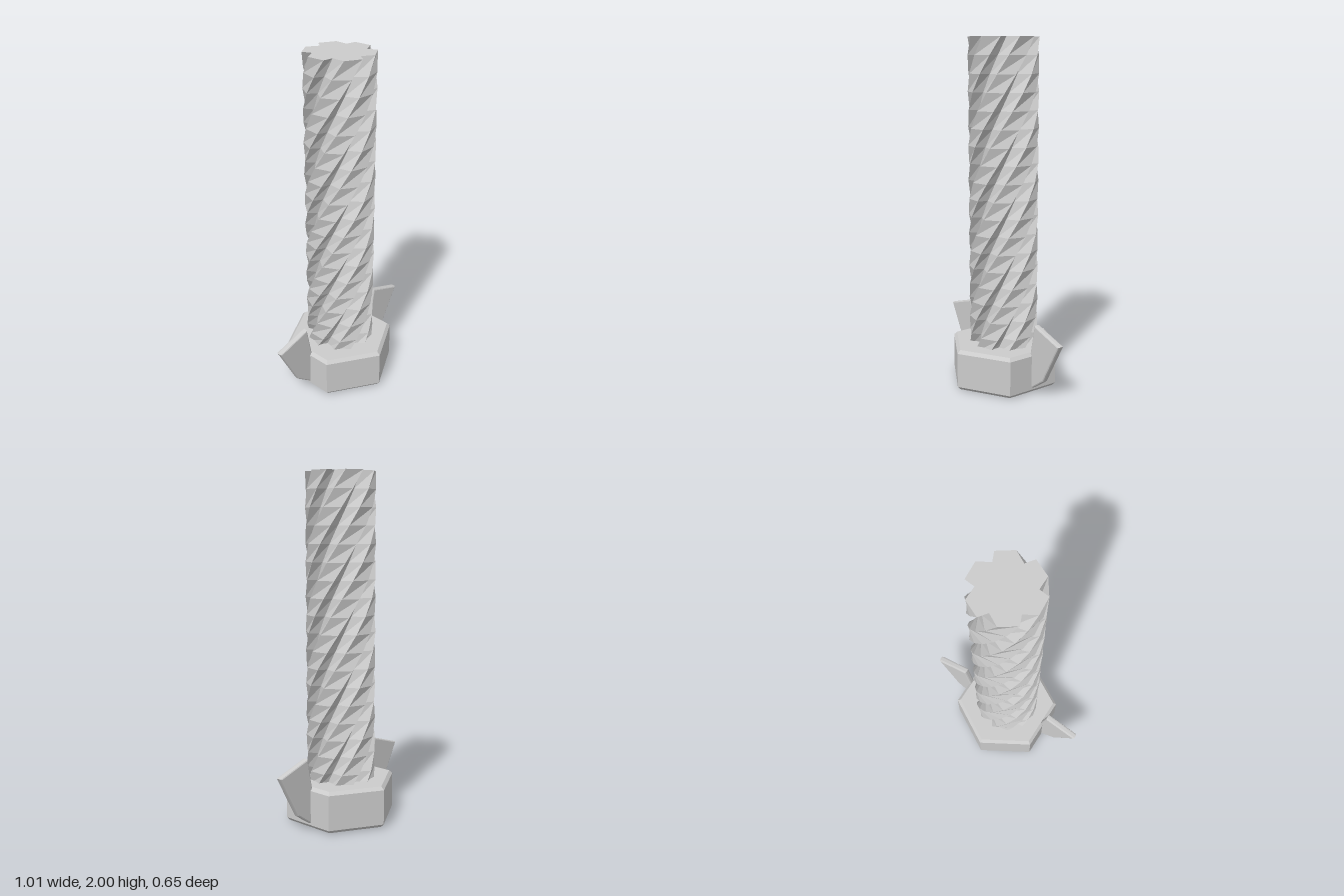
import * as THREE from 'three';

const material = new THREE.MeshStandardMaterial({ color: 0xcccccc, flatShading: true });
const HEIGHT = 2;
const STEPS = 20;
const TWIST = 2 * Math.PI;

// Six-toothed saw profile, stacked in rings that make one full turn
function createShaft() {
  const profile = [];
  for (let k = 0; k < 6; k++) {
    profile.push([60 * k, 0.2], [60 * k + 10, 0.149], [60 * k + 30, 0.2]);
  }
  const n = profile.length;
  const positions = [];
  const indices = [];
  for (let j = 0; j <= STEPS; j++) {
    const t = j / STEPS;
    for (const [degrees, r] of profile) {
      const a = THREE.MathUtils.degToRad(degrees) + TWIST * t;
      positions.push(r * Math.sin(a), HEIGHT * t, r * Math.cos(a));
    }
  }
  // Cap centres
  const bottom = n * (STEPS + 1);
  const top = bottom + 1;
  positions.push(0, 0, 0, 0, HEIGHT, 0);

  for (let i = 0; i < n; i++) {
    const next = (i + 1) % n;
    for (let j = 0; j < STEPS; j++) {
      const a = j * n + i;
      const b = j * n + next;
      indices.push(a, b, b + n, a, b + n, a + n);
    }
    indices.push(bottom, next, i, top, STEPS * n + i, STEPS * n + next);
  }
  const indexed = new THREE.BufferGeometry();
  indexed.setAttribute('position', new THREE.Float32BufferAttribute(positions, 3));
  indexed.setIndex(indices);
  const geometry = indexed.toNonIndexed();
  geometry.computeVertexNormals();

  const shaft = new THREE.Mesh(geometry, material);
  shaft.name = 'twistedShaft';
  return shaft;
}

// Hexagonal nut with chamfered rims
function createNut() {
  const profile = [
    [0, 0.003], [0.308, 0.003], [0.328, 0.022], [0.328, 0.224], [0.308, 0.243], [0, 0.243],
  ].map(([r, y]) => new THREE.Vector2(r, y));
  const nut = new THREE.Mesh(new THREE.LatheGeometry(profile, 6), material);
  nut.name = 'hexNut';
  return nut;
}

// Thin flared wing with softened edges
function createWing() {
  const bevel = 0.008;
  const outline = [
    [0.265, 0.02], [0.31, 0.05], [0.38, 0.1], [0.514, 0.345], [0.303, 0.412], [0.268, 0.24],
  ].map(([x, y]) => new THREE.Vector2(x, y));
  const geometry = new THREE.ExtrudeGeometry(new THREE.Shape(outline), {
    depth: 0.018, bevelEnabled: true, bevelThickness: 0.01, bevelSize: bevel,
    bevelOffset: -bevel, bevelSegments: 2,
  });
  geometry.translate(0, 0, -0.017);
  return new THREE.Mesh(geometry, material);
}

export function createModel() {
  const model = new THREE.Group();
  model.name = 'wingBolt';
  model.add(createShaft());

  // Nut and wings share the same turn about the shaft
  const head = new THREE.Group();
  head.name = 'wingNut';
  head.rotation.y = THREE.MathUtils.degToRad(10.5);
  head.add(createNut());
  ['leftWing', 'rightWing'].forEach((name, i) => {
    const wing = createWing();
    wing.name = name;
    wing.rotation.y = i * Math.PI;
    head.add(wing);
  });
  model.add(head);
  return model;
}
